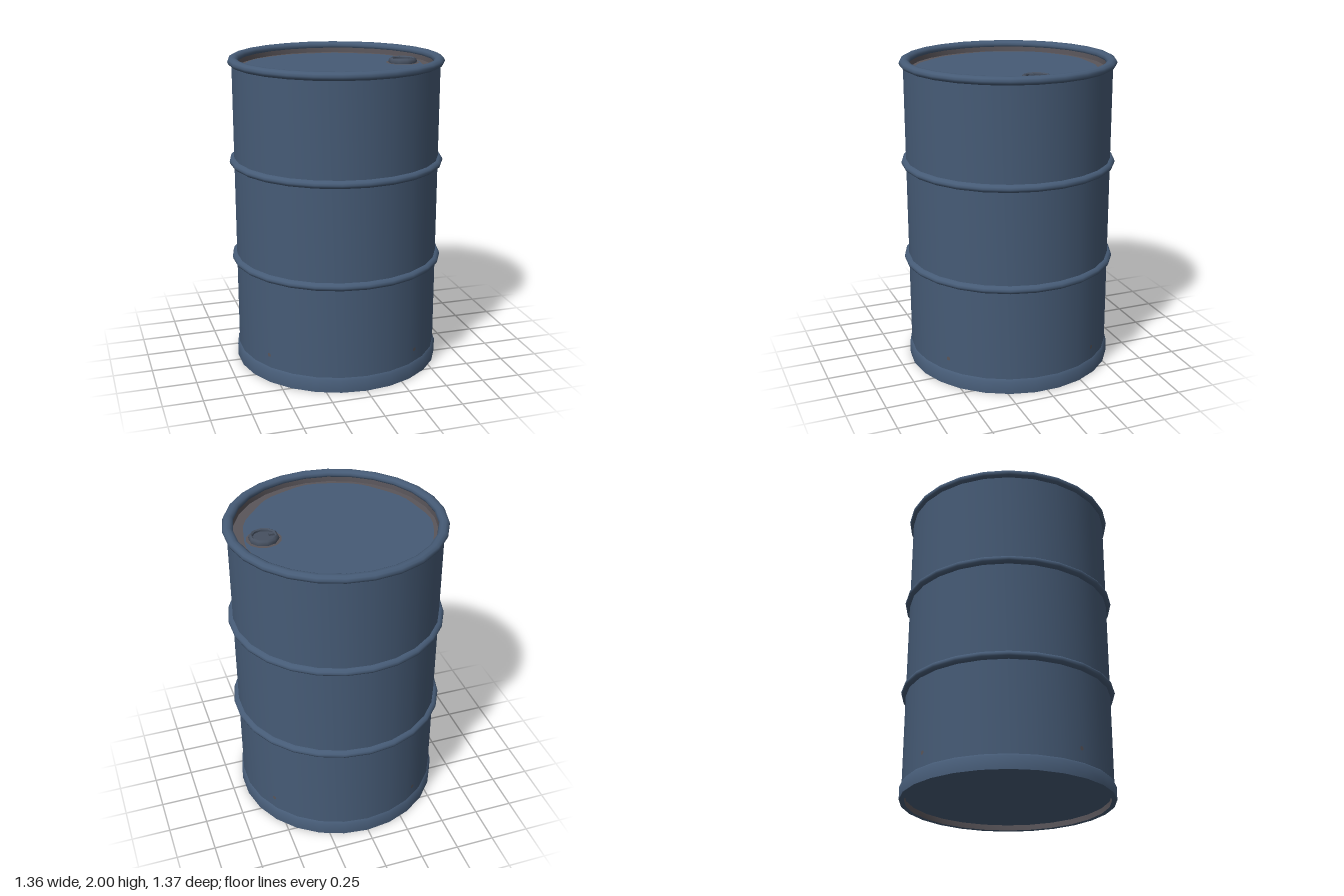
import * as THREE from 'three';
import { toCreasedNormals } from 'three/addons/utils/BufferGeometryUtils.js';

const SIDES = 26;
const LID_Y = 1.93;

function material(name, color) {
  const m = new THREE.MeshStandardMaterial({ color });
  m.name = name;
  return m;
}

export function createModel() {
  const group = new THREE.Group();
  const paint = material('bluePaint', 0x465b76);
  const rust = material('dullRust', 0x59555a);
  const capMetal = material('capMetal', 0x465060);

  function add(name, geometry, mat, parent = group) {
    const mesh = new THREE.Mesh(geometry, mat);
    mesh.name = name;
    parent.add(mesh);
    return mesh;
  }

  // Revolved part, smooth around but sharp at strong profile corners
  function lathe(name, profile, mat, sides = SIDES, parent = group) {
    const points = profile.map(([r, y]) => new THREE.Vector2(r, y));
    return add(name, toCreasedNormals(new THREE.LatheGeometry(points, sides), 0.9), mat, parent);
  }

  // Half-round or full-round band profile, from below to above
  function roundProfile(r, y, rx, ry, from, to, steps) {
    return Array.from({ length: steps + 1 }, (_, i) => {
      const a = from + (to - from) * i / steps;
      return [r + rx * Math.cos(a), y + ry * Math.sin(a)];
    });
  }

  // Shell with a thicker foot
  lathe('body', [[0.655, 0.095], [0.655, 1.97]], paint);
  lathe('footBand', [[0.637, 0], [0.668, 0], [0.668, 0.08], [0.655, 0.095]], paint);
  lathe('footInnerWall', [[0.637, 0.035], [0.637, 0]], rust);
  lathe('bottom', [[0, 0.035], [0.637, 0.035]], paint);

  // Rolling hoops
  for (const y of [0.7, 1.34]) {
    lathe('hoop', roundProfile(0.652, y, 0.033, 0.025, -Math.PI / 2, Math.PI / 2, 6), paint);
  }

  // Rolled top rim and the recessed lid
  lathe('topRim', roundProfile(0.648, 1.974, 0.033, 0.026, -Math.PI, Math.PI, 10), paint);
  lathe('lidWall', [[0.622, 1.975], [0.618, LID_Y]], rust);
  lathe('lidEdge', [[0.62, LID_Y], [0, LID_Y]], rust);

  // Clean paint on the lid, with an uneven worn edge
  const edge = [];
  for (let i = 0; i < 52; i++) {
    const a = i / 52 * Math.PI * 2;
    const r = 0.572 + 0.012 * Math.sin(3 * a + 0.4) - 0.012 * Math.cos(a) + 0.005 * Math.sin(11 * a);
    edge.push(new THREE.Vector2(r * Math.cos(a), r * Math.sin(a)));
  }
  const lid = add('lidPaint', new THREE.ShapeGeometry(new THREE.Shape(edge)), paint);
  lid.rotation.x = -Math.PI / 2;
  lid.position.y = LID_Y + 0.003;

  // Filler cap with a sunken top and a small tab
  const cap = new THREE.Group();
  cap.name = 'fillerCap';
  cap.position.set(0.447, LID_Y, 0);
  group.add(cap);
  const stain = add('capStain', new THREE.CircleGeometry(0.108, 12), rust, cap);
  stain.rotation.x = -Math.PI / 2;
  stain.position.y = 0.005;
  lathe('capRing', [[0.088, 0], [0.092, 0.014], [0.086, 0.03], [0.076, 0.036], [0.068, 0.03], [0.068, 0.018]],
    capMetal, 10, cap);
  lathe('capFace', [[0.069, 0.019], [0, 0.019]], capMetal, 10, cap);
  const tab = add('capTab', new THREE.BoxGeometry(0.035, 0.012, 0.022), capMetal, cap);
  tab.position.set(-0.05, 0.024, 0.01);

  // Small worn spots low on the shell
  for (let i = 0; i < 4; i++) {
    const holder = new THREE.Group();
    holder.name = 'wornSpotMount';
    holder.rotation.y = THREE.MathUtils.degToRad(33 + 90 * i);
    const spot = add('wornSpot', new THREE.CircleGeometry(0.014, 7), rust, holder);
    spot.position.set(0, 0.18, 0.656);
    group.add(holder);
  }

  return group;
}
